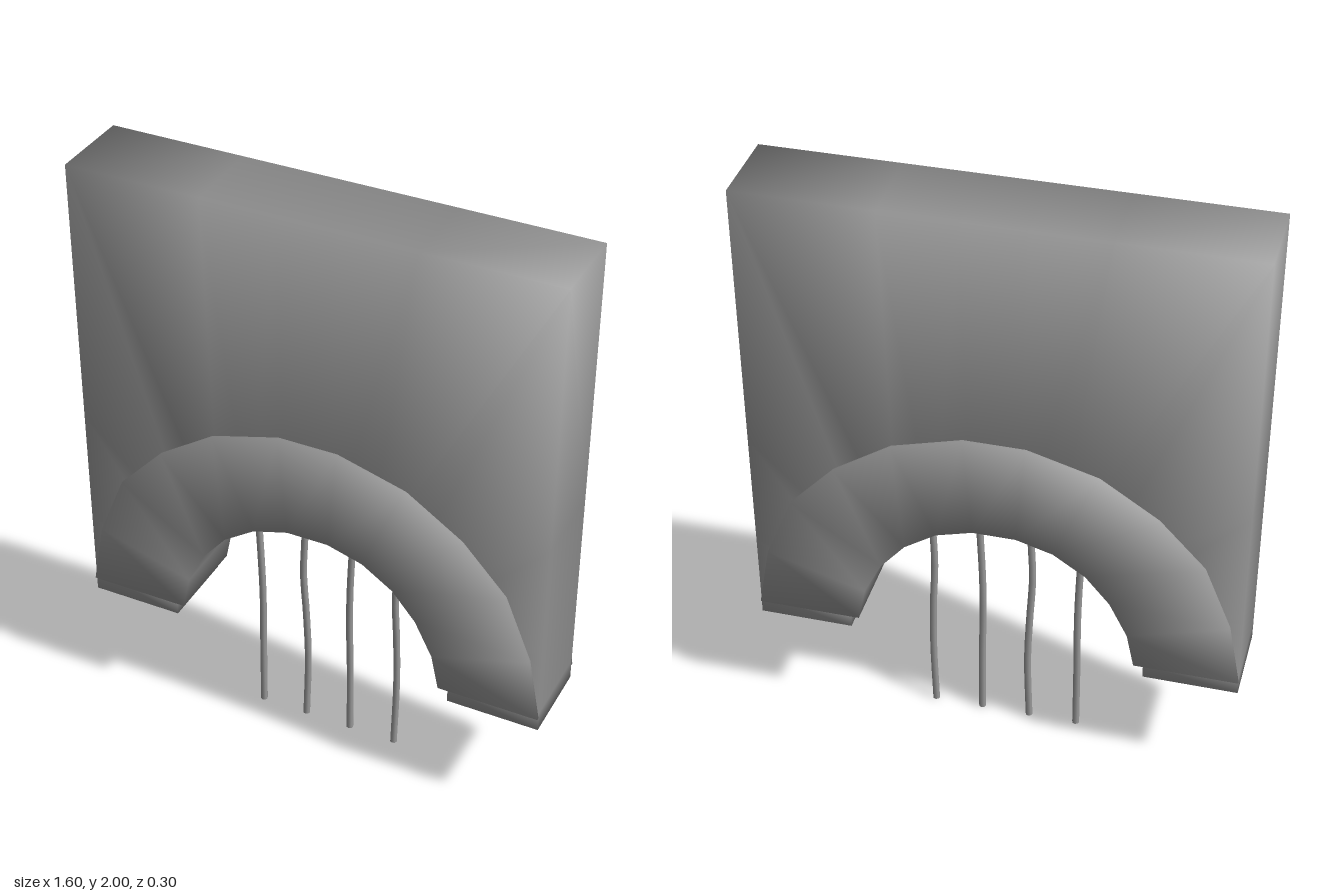
import * as THREE from 'three';

const material = new THREE.MeshStandardMaterial({ color: 0x999999 });

// Right half of each outline, from the foot up to the crown
const TRIM_OUTER = [[0.8, 0.44], [0.76, 0.66], [0.67, 0.88], [0.52, 1.04], [0.33, 1.165], [0.1, 1.23]];
const TRIM_INNER = [[0.46, 0.44], [0.435, 0.56], [0.375, 0.68], [0.295, 0.775], [0.19, 0.845], [0.07, 0.88]];
const WALL_OUTER = [[0.8, 0.39], [0.8, 0.46], [0.8, 0.7], [0.8, 1.1], [0.8, 2], [0.35, 2], [0.1, 2]];
const WALL_INNER = [[0.49, 0.39], ...TRIM_INNER.map(([x, y]) => [x * 1.065, 0.44 + (y - 0.44) * 1.06])];

// Full line running from +x over the crown to -x
function mirrored(half) {
  return [...half, ...half.map(([x, y]) => [-x, y]).reverse()];
}

// Soft normals: each face counts by its angle at the corner
function softenNormals(geometry) {
  const { position } = geometry.attributes;
  const index = geometry.index.array;
  const points = Array.from({ length: position.count }, (_, i) => new THREE.Vector3().fromBufferAttribute(position, i));
  const normals = points.map(() => new THREE.Vector3());
  for (let t = 0; t < index.length; t += 3) {
    for (let k = 0; k < 3; k++) {
      const [a, b, c] = [0, 1, 2].map((j) => index[t + (k + j) % 3]);
      const u = points[b].clone().sub(points[a]);
      const v = points[c].clone().sub(points[a]);
      const angle = u.angleTo(v);
      normals[a].addScaledVector(u.cross(v).normalize(), angle);
    }
  }
  normals.forEach((n) => n.normalize());
  geometry.setAttribute('normal', new THREE.Float32BufferAttribute(normals.flatMap((n) => n.toArray()), 3));
}

// Arched body: a four-cornered section carried from foot to foot
function archedBody(name, outerHalf, innerHalf, depth) {
  const outer = mirrored(outerHalf);
  const inner = mirrored(innerHalf);
  const z = depth / 2;
  const positions = [];
  const indices = [];
  outer.forEach((o, i) => {
    positions.push(...o, z, ...inner[i], z, ...inner[i], -z, ...o, -z);
    if (i === outer.length - 1) return;
    for (let k = 0; k < 4; k++) {
      const a = 4 * i + k;
      const d = 4 * i + (k + 1) % 4;
      indices.push(a, a + 4, d + 4, a, d + 4, d);
    }
  });
  // Soles of the two feet
  const e = 4 * (outer.length - 1);
  indices.push(0, 1, 2, 0, 2, 3, e, e + 2, e + 1, e, e + 3, e + 2);

  const geometry = new THREE.BufferGeometry();
  geometry.setAttribute('position', new THREE.Float32BufferAttribute(positions, 3));
  geometry.setIndex(indices);
  softenNormals(geometry);
  const mesh = new THREE.Mesh(geometry, material);
  mesh.name = name;
  return mesh;
}

// Thin cord hanging from the arch, with slight sideways bends
function cord(name, bends) {
  const heights = [0, 0.25, 0.45, 0.6, 0.8, 0.92];
  const path = new THREE.CatmullRomCurve3(
    heights.map((y, i) => new THREE.Vector3(bends[i], y, i === 1 || i === 2 ? -0.003 : 0)));
  const group = new THREE.Group();
  group.name = name;
  group.add(new THREE.Mesh(new THREE.TubeGeometry(path, 14, 0.012, 8), material));
  // Bottom end cap
  const cap = new THREE.Mesh(new THREE.CircleGeometry(0.012, 8), material);
  cap.rotation.x = Math.PI / 2;
  cap.position.set(bends[0], 0.001, 0);
  group.add(cap);
  return group;
}

export function createModel() {
  const model = new THREE.Group();
  model.name = 'archedWall';

  // Wall with an arched opening, and a trim just proud of both its faces
  model.add(archedBody('wall', WALL_OUTER, WALL_INNER, 0.28));
  model.add(archedBody('archTrim', TRIM_OUTER, TRIM_INNER, 0.3));

  // Four hanging cords
  [
    [-0.245, -0.245, -0.243, -0.245, -0.252, -0.25],
    [-0.082, -0.076, -0.083, -0.09, -0.082, -0.082],
    [0.082, 0.08, 0.076, 0.079, 0.087, 0.088],
    [0.245, 0.25, 0.246, 0.24, 0.246, 0.246],
  ].forEach((bends, i) => model.add(cord('hangingCord' + (i + 1), bends)));

  return model;
}
